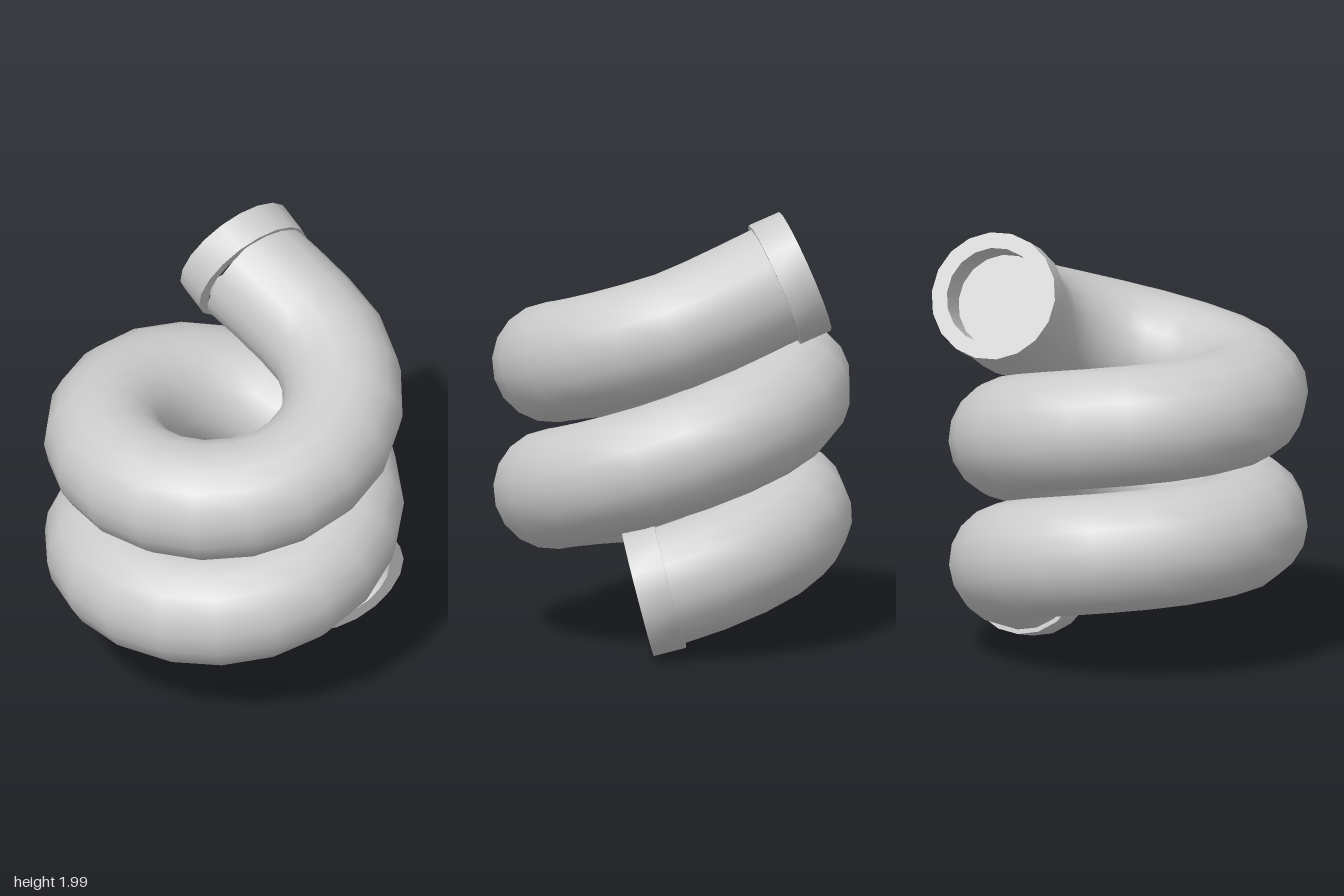
import * as THREE from 'three';
import { toCreasedNormals } from 'three/addons/utils/BufferGeometryUtils.js';

const V = (x, y, z) => new THREE.Vector3(x, y, z);

// Slightly tilted helix: angle in degrees, 0 = front, 90 = left side
function coilPoint(deg) {
  const t = THREE.MathUtils.degToRad(deg);
  return V(
    -0.02 + 0.54 * Math.sin(t),
    1.305 + 0.0923 * t - 0.085 * Math.cos(t) - 0.03 * Math.sin(t),
    0.01 + 0.54 * Math.cos(t)
  );
}

export function createModel() {
  const group = new THREE.Group();
  const material = new THREE.MeshStandardMaterial({ color: 0xcccccc });

  // Opening centres and the directions they face
  const lower = { name: 'lowerCollar', pos: V(0.545, 0.285, -0.035), dir: V(0.36, -0.25, 0.9).normalize() };
  const upper = { name: 'upperCollar', pos: V(0.12, 1.73, -0.68), dir: V(-0.46, 0.38, -0.8).normalize() };
  const inside = (end, depth) => end.pos.clone().addScaledVector(end.dir, -depth);

  // Coiled pipe: two turns, with the top end leaving the coil
  const path = [inside(lower, 0.13)];
  for (let deg = -600; deg <= 100; deg += 20) path.push(coilPoint(deg));
  path.push(coilPoint(115), V(0.34, 1.585, -0.395), inside(upper, 0.13));
  const curve = new THREE.CatmullRomCurve3(path);
  curve.arcLengthDivisions = 800;
  const pipe = new THREE.Mesh(new THREE.TubeGeometry(curve, 42, 0.272, 18), material);
  pipe.name = 'coiledPipe';
  group.add(pipe);

  // Collars: thick ring with a recessed floor, open towards +y
  const profile = [
    [0.24, -0.15], [0.292, -0.15], [0.292, 0], [0.22, 0], [0.22, -0.18], [0, -0.18],
  ].map(([r, y]) => new THREE.Vector2(r, y));
  const collarGeometry = toCreasedNormals(new THREE.LatheGeometry(profile, 18), 0.6);
  for (const end of [lower, upper]) {
    const collar = new THREE.Mesh(collarGeometry, material);
    collar.name = end.name;
    collar.position.copy(end.pos);
    collar.quaternion.setFromUnitVectors(V(0, 1, 0), end.dir);
    group.add(collar);
  }
  return group;
}
